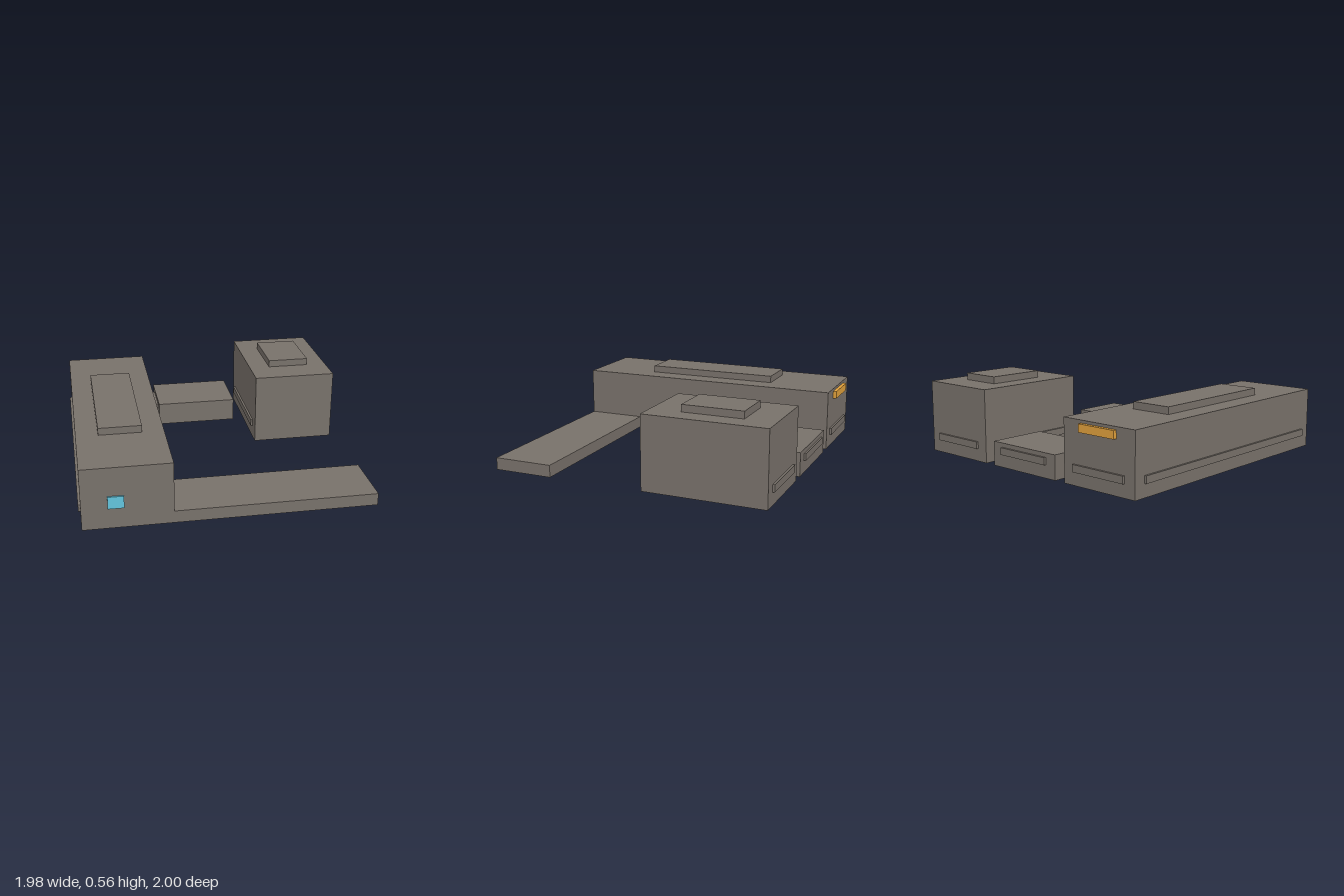
import * as THREE from 'three';

const material = (color) => new THREE.MeshStandardMaterial({ color });

export function createModel() {
  const model = new THREE.Group();
  const stone = material(0x78716a);
  const amber = material(0xe0a03c);
  const blue = material(0x62c4dc);

  // Box given by its extents along each axis
  const addBox = (parent, name, [x0, x1], [y0, y1], [z0, z1], mat = stone) => {
    const mesh = new THREE.Mesh(new THREE.BoxGeometry(x1 - x0, y1 - y0, z1 - z0), mat);
    mesh.position.set((x0 + x1) / 2, (y0 + y1) / 2, (z0 + z1) / 2);
    mesh.name = name;
    parent.add(mesh);
  };

  // Buildings share a back line; each has ledges on its back and its -x side
  const back = -0.975, inset = 0.085, ledge = 0.015, ledgeY = [0.09, 0.14];
  const buildings = [
    { name: 'longHall', x: [-0.975, -0.38], front: 0.985, height: 0.43, roof: [[-0.825, -0.53], [-0.485, 0.5]] },
    { name: 'lowBlock', x: [-0.295, 0.305], front: -0.55, height: 0.17 },
    { name: 'tallBlock', x: [0.39, 0.985], front: -0.12, height: 0.515, roof: [[0.54, 0.84], [-0.765, -0.34]] },
  ];
  for (const { name, x, front, height, roof } of buildings) {
    const building = new THREE.Group();
    building.name = name;
    addBox(building, 'walls', x, [0, height], [back, front]);
    addBox(building, 'backLedge', [x[0] + inset, x[1] - inset], ledgeY, [back - ledge, back]);
    addBox(building, 'sideLedge', [x[0] - ledge, x[0]], ledgeY, [back + inset, front - inset]);
    if (roof) addBox(building, 'roofPlinth', roof[0], [height, height + 0.05], roof[1]);
    model.add(building);
  }

  // Low wing along the front
  addBox(model, 'frontWing', [-0.38, 0.985], [0, 0.085], [0.56, 0.985]);

  // Coloured panels on the long hall
  addBox(model, 'backSign', [-0.825, -0.53], [0.355, 0.41], [-1, back], amber);
  addBox(model, 'frontWindow', [-0.805, -0.7], [0.145, 0.23], [0.985, 0.997], blue);

  return model;
}
